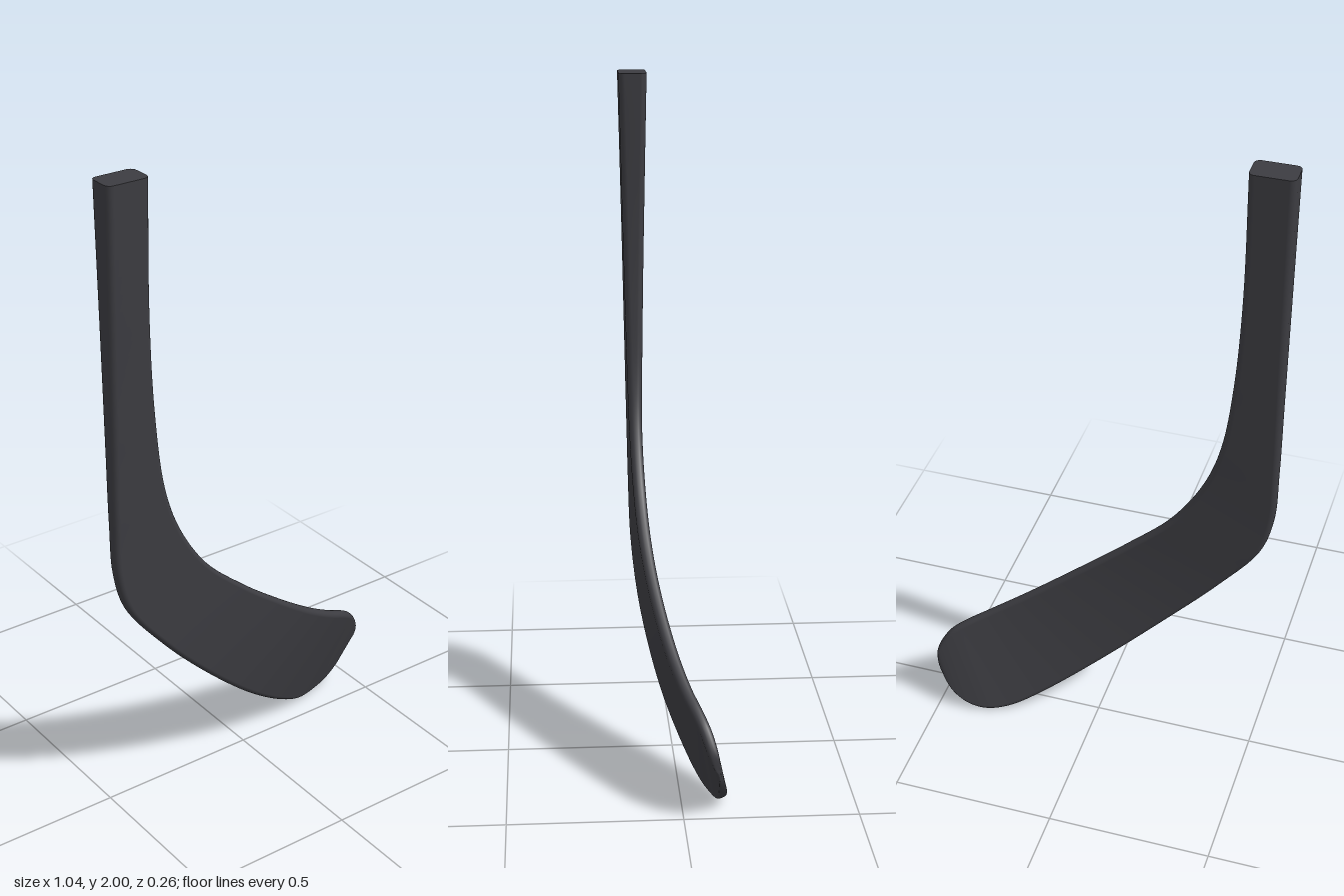
import * as THREE from 'three';

// Stations from shaft top to blade tip:
// outer edge x, y, z | inner edge x, y, z | thickness
const STATIONS = [
  [-0.52, 2.0, 0.092, -0.39, 2.0, 0.092, 0.085],
  [-0.52, 1.6, 0.092, -0.39, 1.6, 0.092, 0.068],
  [-0.52, 1.25, 0.092, -0.375, 1.3, 0.092, 0.055],
  [-0.52, 1.0, 0.092, -0.345, 1.07, 0.092, 0.046],
  [-0.515, 0.84, 0.092, -0.295, 0.92, 0.092, 0.04],
  [-0.48, 0.715, 0.092, -0.2, 0.77, 0.087, 0.038],
  [-0.36, 0.555, 0.091, -0.06, 0.64, 0.076, 0.037],
  [-0.2, 0.385, 0.072, 0.08, 0.53, 0.055, 0.036],
  [0, 0.2, 0.022, 0.24, 0.415, 0.02, 0.036],
  [0.17, 0.07, -0.04, 0.36, 0.34, -0.015, 0.035],
  [0.27, 0.014, -0.08, 0.43, 0.3, -0.042, 0.035],
  [0.34, 0.002, -0.105, 0.473, 0.268, -0.06, 0.034],
  [0.4, 0.015, -0.115, 0.5, 0.23, -0.074, 0.032],
  [0.45, 0.05, -0.116, 0.513, 0.195, -0.085, 0.026],
  [0.485, 0.098, -0.11, 0.513, 0.162, -0.093, 0.017],
  [0.502, 0.128, -0.104, 0.508, 0.142, -0.1, 0.006],
];
const STEPS = 120, CORNER = 5, RING = 4 * (CORNER + 1);

const edgeCurve = (k) => new THREE.CatmullRomCurve3(
  STATIONS.map((s) => new THREE.Vector3(s[k], s[k + 1], s[k + 2])));

// Rounded rectangle cross-section, counter-clockwise
function roundedRing(width, thick) {
  const r = Math.min(thick * 0.42, 0.018, width / 2);
  const ring = [];
  for (let c = 0; c < 4; c++) {
    const sx = c === 0 || c === 3 ? 1 : -1, sy = c < 2 ? 1 : -1;
    for (let i = 0; i <= CORNER; i++) {
      const a = (c + i / CORNER) * Math.PI / 2;
      ring.push([sx * (width / 2 - r) + r * Math.cos(a), sy * (thick / 2 - r) + r * Math.sin(a)]);
    }
  }
  return ring;
}

function buildSections() {
  const outer = edgeCurve(0), inner = edgeCurve(3);
  const thickness = new THREE.CatmullRomCurve3(
    STATIONS.map((s, i) => new THREE.Vector3(i * 0.1, s[6], 0)));
  const mid = (t) => outer.getPoint(t).add(inner.getPoint(t)).multiplyScalar(0.5);
  const sections = [];
  for (let j = 0; j <= STEPS; j++) {
    const t = j / STEPS;
    const across = inner.getPoint(t).sub(outer.getPoint(t));
    const width = across.length();
    across.normalize();
    const along = mid(Math.min(1, t + 0.01)).sub(mid(Math.max(0, t - 0.01)));
    const normal = along.cross(across).normalize();
    const centre = mid(t);
    sections.push(roundedRing(width, thickness.getPoint(t).y).map(([a, b]) =>
      centre.clone().addScaledVector(across, a).addScaledVector(normal, b)));
  }
  return sections;
}

// Closed fan over one cross-section
function capGeometry(ring, flip) {
  const centre = ring.reduce((s, p) => s.add(p), new THREE.Vector3()).divideScalar(ring.length);
  const index = [];
  for (let i = 0; i < RING; i++) {
    const a = 1 + i, b = 1 + (i + 1) % RING;
    index.push(0, flip ? b : a, flip ? a : b);
  }
  const g = new THREE.BufferGeometry().setFromPoints([centre, ...ring]);
  g.setIndex(index);
  g.computeVertexNormals();
  return g;
}

export function createModel() {
  const group = new THREE.Group();
  group.name = 'hockeyStickBlade';
  const material = new THREE.MeshStandardMaterial({ color: 0x3c3c41 });
  const add = (name, geometry) => {
    const mesh = new THREE.Mesh(geometry, material);
    mesh.name = name;
    group.add(mesh);
  };

  // Shaft flowing into the curved, twisted blade
  const sections = buildSections();
  const index = [];
  for (let j = 0; j < STEPS; j++) {
    for (let i = 0; i < RING; i++) {
      const k = (i + 1) % RING;
      const a = j * RING + i, b = j * RING + k, c = a + RING, d = b + RING;
      index.push(a, b, c, b, d, c);
    }
  }
  const body = new THREE.BufferGeometry().setFromPoints(sections.flat());
  body.setIndex(index);
  body.computeVertexNormals();
  add('shaftAndBlade', body);

  // Flat shaft end and the small closing face at the toe
  add('shaftEnd', capGeometry(sections[0], true));
  add('bladeToe', capGeometry(sections[STEPS], false));
  return group;
}
